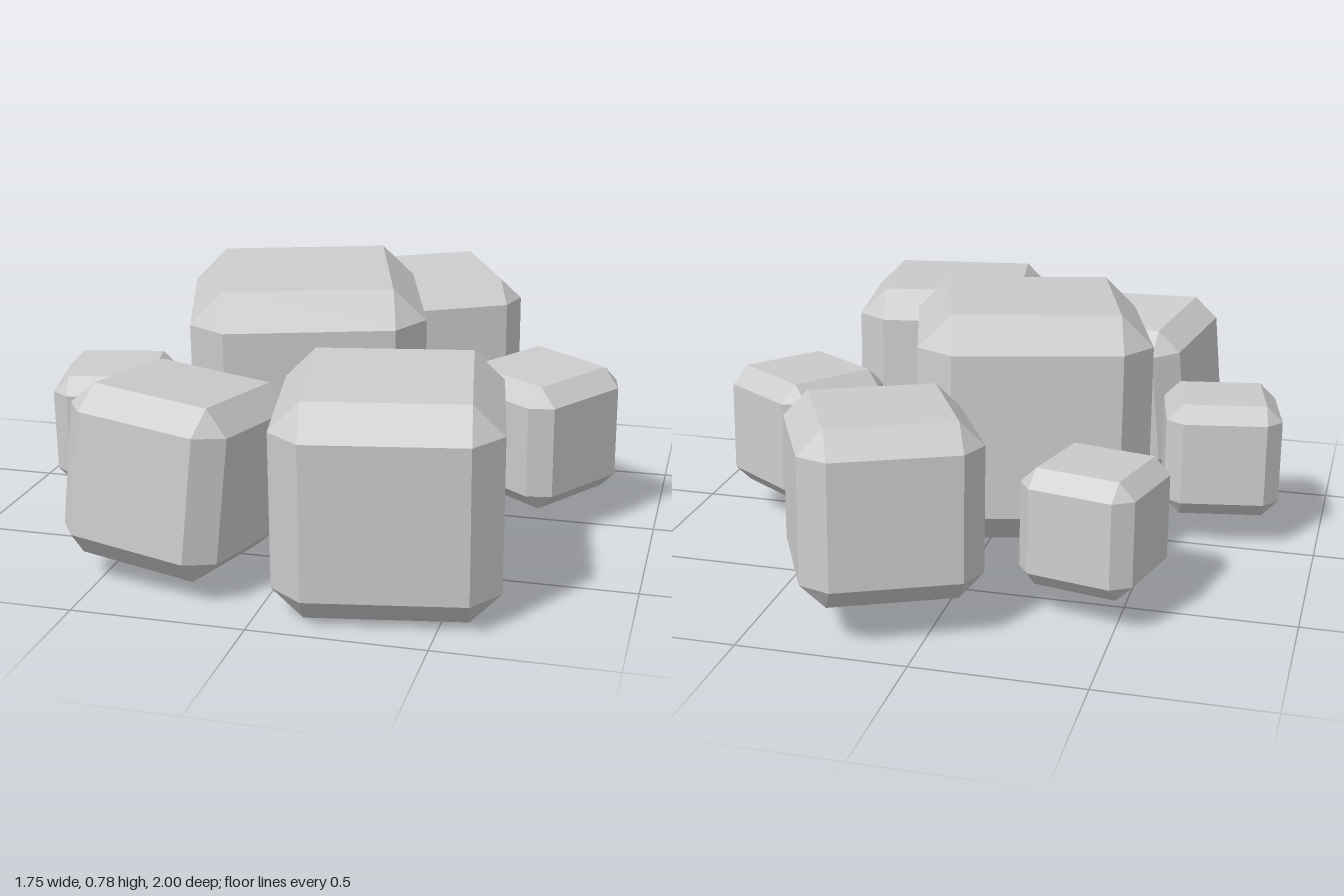
import * as THREE from 'three';
import { ConvexGeometry } from 'three/addons/geometries/ConvexGeometry.js';

// Cube of half-size 1 with every edge and corner cut flat
function chamferedCube(cut) {
  const points = [];
  const inner = 1 - cut;
  for (const x of [-1, 1]) for (const y of [-1, 1]) for (const z of [-1, 1]) {
    points.push(
      new THREE.Vector3(x, y * inner, z * inner),
      new THREE.Vector3(x * inner, y, z * inner),
      new THREE.Vector3(x * inner, y * inner, z)
    );
  }
  return new ConvexGeometry(points);
}

// name, half-size, centre, tilt about x / yaw / tilt about z in degrees
const ROCKS = [
  ['centreRock', 0.35, [-0.095, 0.415, 0.01], [2.4, 16.5, 0]],
  ['frontLeftRock', 0.312, [0.315, 0.323, 0.64], [2.4, 9.7, 0]],
  ['frontRightRock', 0.25, [-0.31, 0.31, 0.64], [-4, -11.5, -4.8]],
  ['backLeftRock', 0.257, [0.165, 0.365, -0.685], [2.4, 26.5, 0]],
  ['backRightSmallRock', 0.175, [-0.41, 0.27, -0.51], [2.4, -13, 0]],
  ['rightSmallRock', 0.177, [-0.68, 0.275, 0.145], [2.4, 11, 0]],
  ['leftSmallRock', 0.194, [0.63, 0.295, -0.035], [2.4, -35.5, 0]],
];

export function createModel() {
  const group = new THREE.Group();
  group.name = 'rockCluster';
  const geometry = chamferedCube(0.28);
  const material = new THREE.MeshStandardMaterial({ color: 0xcccccc, flatShading: true });

  for (const [name, size, centre, degrees] of ROCKS) {
    const rock = new THREE.Mesh(geometry, material);
    rock.name = name;
    rock.scale.setScalar(size);
    rock.position.set(...centre);
    rock.rotation.set(...degrees.map(THREE.MathUtils.degToRad));
    group.add(rock);
  }
  return group;
}
